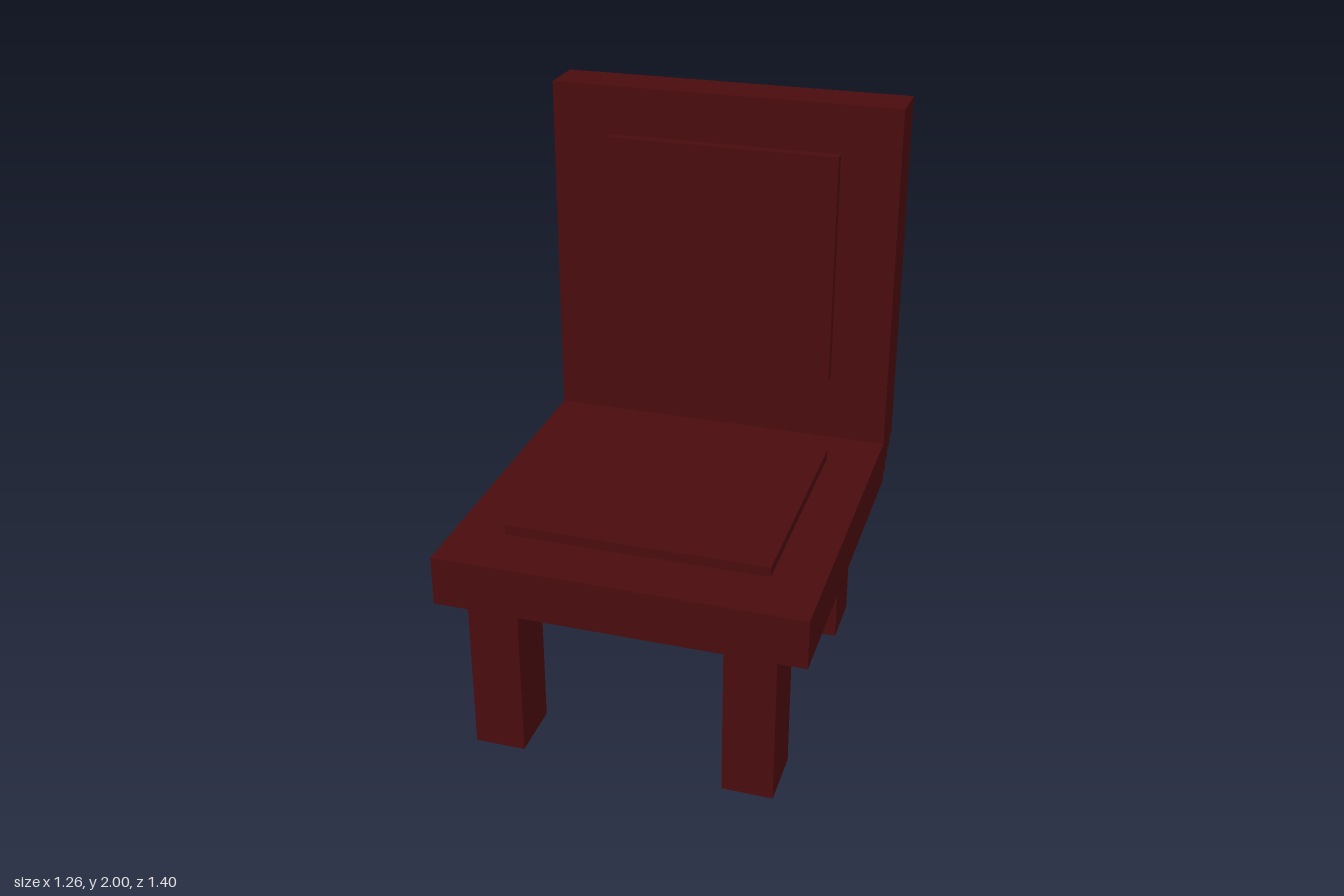
import * as THREE from 'three';

// Everything sits on a block grid, 57 blocks tall
const U = 2 / 57;

export function createModel() {
  const chair = new THREE.Group();
  chair.name = 'chair';
  const darkRed = new THREE.MeshStandardMaterial({ color: 0x4b0c0e });
  darkRed.name = 'darkRed';

  // Box given by its minimum and maximum corners, in blocks
  function addBox(name, [x0, y0, z0], [x1, y1, z1]) {
    const geometry = new THREE.BoxGeometry((x1 - x0) * U, (y1 - y0) * U, (z1 - z0) * U);
    const mesh = new THREE.Mesh(geometry, darkRed);
    mesh.name = name;
    mesh.position.set((x0 + x1) / 2 * U, (y0 + y1) / 2 * U, (z0 + z1) / 2 * U);
    chair.add(mesh);
  }

  // Seat and backrest: one L-shaped side profile (z, y) with a stepped lower rear edge
  const profile = [[-20, 57], [-20, 20]];
  for (let i = 0; i < 4; i++) profile.push([-19 + i, 20 - i], [-19 + i, 19 - i]);
  profile.push([20, 16], [20, 21], [-15, 21], [-15, 57]);
  const shape = new THREE.Shape(profile.map(([z, y]) => new THREE.Vector2(z * U, y * U)));
  const frameGeometry = new THREE.ExtrudeGeometry(shape, { depth: 36 * U, bevelEnabled: false });
  frameGeometry.translate(0, 0, -18 * U);
  frameGeometry.rotateY(-Math.PI / 2);
  const frame = new THREE.Mesh(frameGeometry, darkRed);
  frame.name = 'seatAndBackrest';
  chair.add(frame);

  // Raised pads
  addBox('seatPad', [-13, 21, -10], [13, 22, 14]);
  addBox('backPad', [-12, 28, -15], [12, 52, -14]);

  // Legs, mirrored left and right
  for (const [side, x] of [['Left', 10], ['Right', -15]]) {
    addBox('front' + side + 'Leg', [x, 0, 13], [x + 5, 16, 19]);
    addBox('back' + side + 'Leg', [x, 0, -15], [x + 5, 16, -9]);
  }
  return chair;
}
